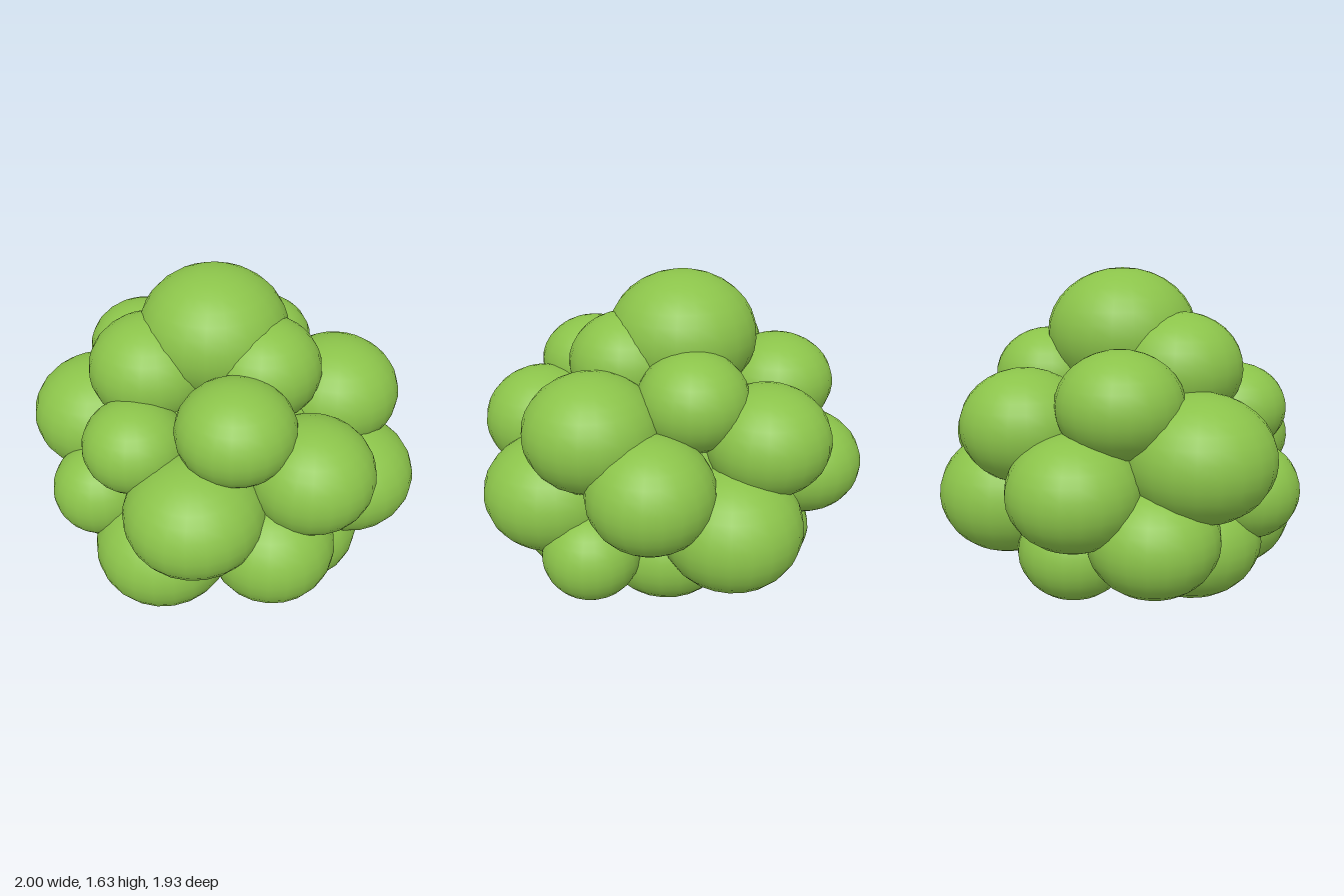
import * as THREE from 'three';

// Each leaf clump: centre x, y, z, horizontal radius, vertical radius
const tiers = {
  lowerClump: [
    [-0.06, 0.32, 0.55, 0.355, 0.305],
    [-0.38, 0.305, 0.28, 0.36, 0.3],
    [-0.68, 0.42, 0.03, 0.315, 0.27],
    [-0.41, 0.29, -0.31, 0.28, 0.25],
    [0.1, 0.295, -0.3, 0.345, 0.29],
    [0.46, 0.3, 0.06, 0.335, 0.295],
    [0.49, 0.475, 0.41, 0.315, 0.285],
    [0.53, 0.37, -0.41, 0.245, 0.23],
  ],
  middleClump: [
    [0.18, 0.7, 0.62, 0.345, 0.285],
    [-0.43, 0.555, 0.56, 0.255, 0.245],
    [-0.64, 0.785, 0.25, 0.36, 0.305],
    [-0.64, 0.65, -0.33, 0.315, 0.27],
    [-0.12, 0.51, -0.62, 0.35, 0.31],
    [0.28, 0.74, -0.585, 0.31, 0.28],
    [0.65, 0.6, -0.14, 0.35, 0.295],
    [0.605, 0.84, 0.24, 0.312, 0.28],
  ],
  upperClump: [
    [-0.19, 0.925, 0.555, 0.26, 0.23],
    [0.28, 1.08, 0.4, 0.29, 0.245],
    [0.48, 0.965, -0.31, 0.335, 0.288],
    [-0.33, 0.9, -0.53, 0.315, 0.275],
    [-0.58, 1.03, -0.11, 0.3, 0.255],
    [-0.3, 1.155, 0.225, 0.318, 0.275],
    [0.0, 1.09, -0.39, 0.275, 0.245],
    [0.21, 1.185, 0.0, 0.295, 0.26],
  ],
  crownClump: [[-0.08, 1.31, -0.02, 0.38, 0.325]],
  innerFoliage: [[0, 0.62, 0, 0.6, 0.6]],
};

export function createModel() {
  const bush = new THREE.Group();
  bush.name = 'bush';

  const leafGreen = new THREE.MeshStandardMaterial({ color: 0x8bc34a });
  leafGreen.name = 'leafGreen';

  const ball = new THREE.SphereGeometry(1, 22, 16);

  // Overlapping flattened balls, grouped by height
  for (const [name, clumps] of Object.entries(tiers)) {
    const tier = new THREE.Group();
    tier.name = name + 's';
    clumps.forEach(([x, y, z, r, h], i) => {
      const clump = new THREE.Mesh(ball, leafGreen);
      clump.name = name + (i + 1);
      clump.position.set(x, y, z);
      clump.scale.set(r, h, r);
      tier.add(clump);
    });
    bush.add(tier);
  }
  return bush;
}
